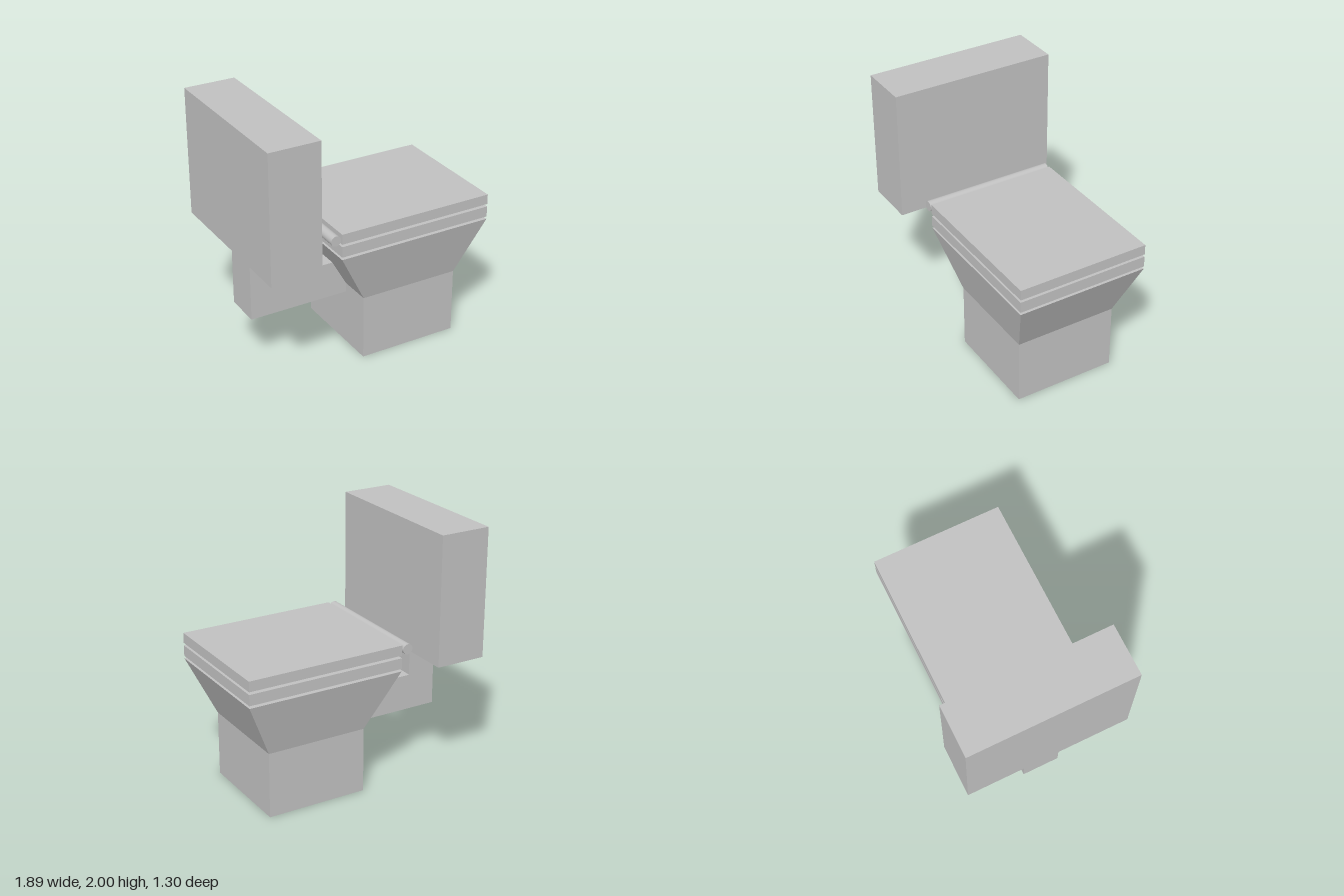
import * as THREE from 'three';

export function createModel() {
  const group = new THREE.Group();
  const ceramic = new THREE.MeshStandardMaterial({ color: 0xc0c0c0 });
  ceramic.name = 'light grey ceramic';

  const add = (name, geometry) => {
    const mesh = new THREE.Mesh(geometry, ceramic);
    mesh.name = name;
    group.add(mesh);
    return mesh;
  };

  // Box between two x and two y limits, centred on z
  const block = (name, x0, x1, y0, y1, depth) =>
    add(name, new THREE.BoxGeometry(x1 - x0, y1 - y0, depth)
      .translate((x0 + x1) / 2, (y0 + y1) / 2, 0));

  block('cistern', -0.945, -0.545, 0.99, 2, 1.3);
  block('pedestal', -0.06, 0.74, 0, 0.515, 0.81);
  block('seat', -0.31, 0.945, 0.985, 1.07, 1.04);
  block('lid', -0.31, 0.945, 1.09, 1.17, 1.04);

  // Bowl: a box flaring from the pedestal to the rim
  const bowl = new THREE.BoxGeometry(1, 1, 1);
  const p = bowl.attributes.position;
  for (let i = 0; i < p.count; i++) {
    const top = p.getY(i) > 0;
    const right = p.getX(i) > 0;
    p.setXYZ(i,
      top ? (right ? 0.945 : -0.31) : (right ? 0.74 : -0.06),
      top ? 0.965 : 0.515,
      Math.sign(p.getZ(i)) * (top ? 0.52 : 0.405));
  }
  bowl.computeVertexNormals();
  add('bowl', bowl);

  // L-shaped flush pipe, running into the bowl and pedestal
  const elbow = new THREE.Shape([
    [-0.86, 0.44], [-0.02, 0.44], [-0.02, 0.725], [-0.635, 0.725], [-0.635, 0.99], [-0.86, 0.99],
  ].map(([x, y]) => new THREE.Vector2(x, y)));
  add('flushPipe', new THREE.ExtrudeGeometry(elbow, { depth: 0.29, bevelEnabled: false })
    .translate(0, 0, -0.145));

  // Hinge rod behind the lid
  const hinge = add('hinge', new THREE.CylinderGeometry(0.04, 0.04, 1.04, 32));
  hinge.rotation.x = Math.PI / 2;
  hinge.position.set(-0.36, 1.13, 0);

  return group;
}
